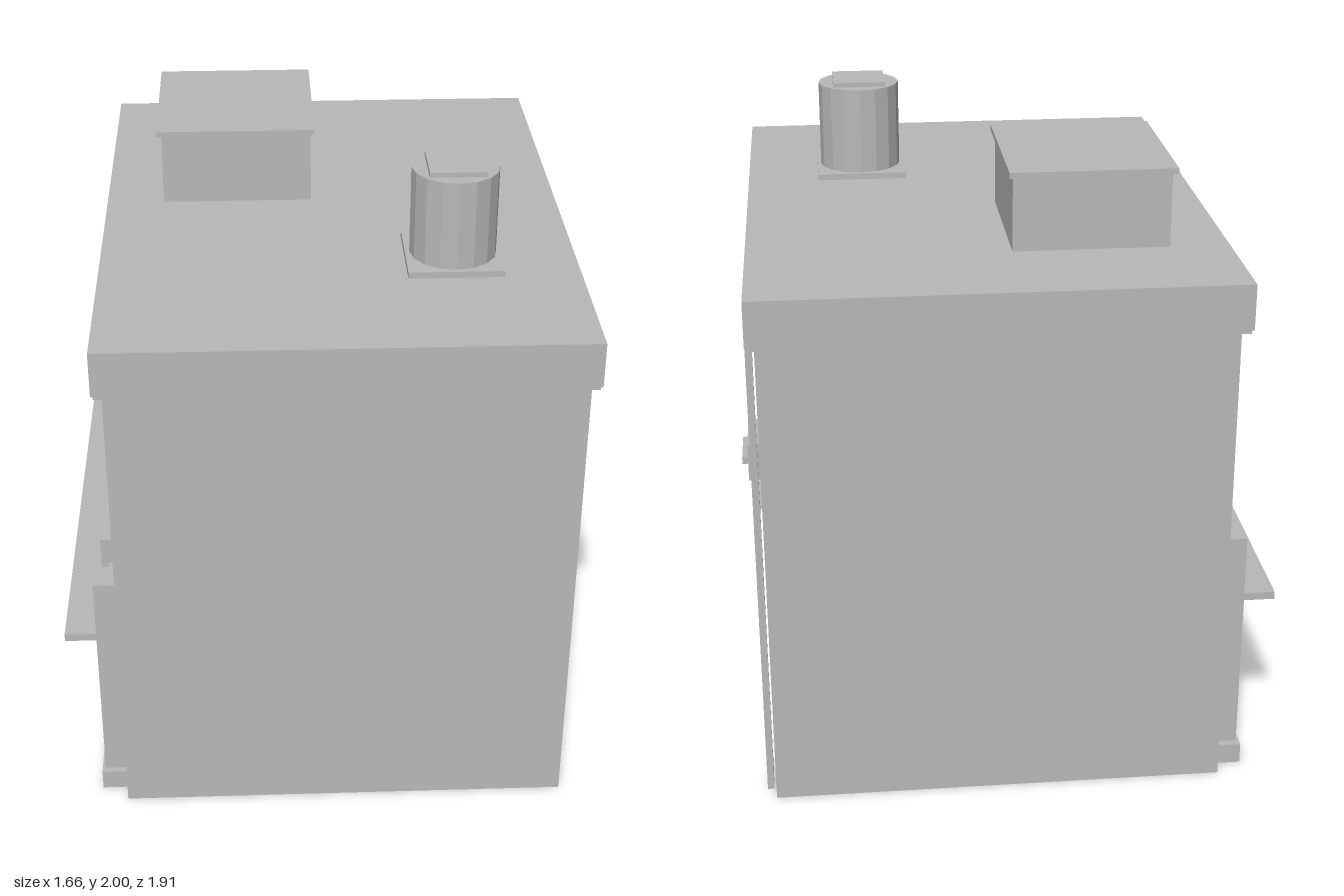
import * as THREE from 'three';

export function createModel() {
  const root = new THREE.Group();
  const grey = new THREE.MeshStandardMaterial({ color: 0xb8b8b8 });
  grey.name = 'plain grey';

  // Box given by its minimum and maximum along each axis
  const box = (name, x0, x1, y0, y1, z0, z1, parent = root) => {
    const m = new THREE.Mesh(new THREE.BoxGeometry(x1 - x0, y1 - y0, z1 - z0), grey);
    m.name = name;
    m.position.set((x0 + x1) / 2, (y0 + y1) / 2, (z0 + z1) / 2);
    parent.add(m);
    return m;
  };
  const group = (name) => {
    const g = new THREE.Group();
    g.name = name;
    root.add(g);
    return g;
  };

  // Main building and overhanging roof
  box('walls', -0.658, 0.758, 0, 1.54, -0.925, 0.925);
  box('roofSlab', -0.688, 0.785, 1.54, 1.682, -0.955, 0.953);
  box('roofLowerLip', -0.682, 0.779, 1.528, 1.54, -0.949, 0.947);

  // Square roof unit with a thin lid
  const unit = group('roofUnit');
  box('roofUnitBody', -0.503, -0.02, 1.68, 1.915, -0.592, -0.072, unit);
  box('roofUnitLid', -0.518, -0.008, 1.915, 1.933, -0.61, -0.057, unit);

  // Round chimney on a square base
  const chimney = group('chimney');
  box('chimneyBase', 0.254, 0.55, 1.68, 1.702, 0.222, 0.52, chimney);
  const pipeGeometry = new THREE.CylinderGeometry(0.135, 0.135, 0.283, 16).toNonIndexed();
  pipeGeometry.computeVertexNormals();
  const pipe = new THREE.Mesh(pipeGeometry, grey);
  pipe.name = 'chimneyPipe';
  pipe.position.set(0.403, 1.8435, 0.37);
  chimney.add(pipe);
  box('chimneyCap', 0.316, 0.49, 1.985, 2.0, 0.283, 0.457, chimney);

  // Downspout with a short outlet
  const spout = group('downspout');
  box('downspoutPipe', 0.766, 0.787, 0, 1.53, -0.874, -0.857, spout);
  box('downspoutOutlet', 0.766, 0.787, 0.045, 0.068, -0.857, -0.795, spout);

  // Wall fittings on the left side
  box('wallRail', 0.758, 0.78, 0.867, 0.881, -0.62, 0.442);
  const lamp = group('wallLamp');
  box('lampBox', 0.758, 0.81, 0.898, 1.022, -0.472, -0.265, lamp);
  box('lampBar', 0.81, 0.829, 0.948, 0.97, -0.451, -0.286, lamp);
  const meter = group('meter');
  box('meterBox', 0.758, 0.788, 0.137, 0.26, 0.52, 0.602, meter);
  box('meterConduit', 0.758, 0.775, 0.205, 0.402, 0.514, 0.53, meter);

  // Serving counter on the right side
  const counter = group('counter');
  box('counterPanel', -0.698, -0.658, 0.01, 0.725, -0.84, 0.84, counter);
  box('counterFootRail', -0.742, -0.658, 0, 0.067, -0.873, 0.868, counter);
  box('counterShelf', -0.833, -0.695, 0.579, 0.604, -0.835, 0.83, counter);
  for (const s of [-1, 1]) {
    const span = (name, x0, x1, y0, y1, a, b) =>
      box(name, x0, x1, y0, y1, Math.min(s * a, s * b), Math.max(s * a, s * b), counter);
    span('counterEndPost', -0.732, -0.658, 0.06, 0.804, 0.748, 0.848);
    span('counterInnerPost', -0.722, -0.658, 0.06, 0.813, 0.553, 0.613);
    span('shelfBracket', -0.777, -0.762, 0.45, 0.58, 0.6, 0.63);
  }

  // Upright slats and horizontal louvres on the counter panel
  for (const z of [-0.28, -0.14, -0.02])
    box('counterSlat', -0.712, -0.69, 0.08, 0.56, z - 0.014, z + 0.014, counter);
  for (let i = 0; i < 6; i++) {
    const y = 0.11 + i * 0.062;
    box('counterLouvre', -0.712, -0.69, y, y + 0.018, 0.23, 0.53, counter);
  }

  return root;
}
